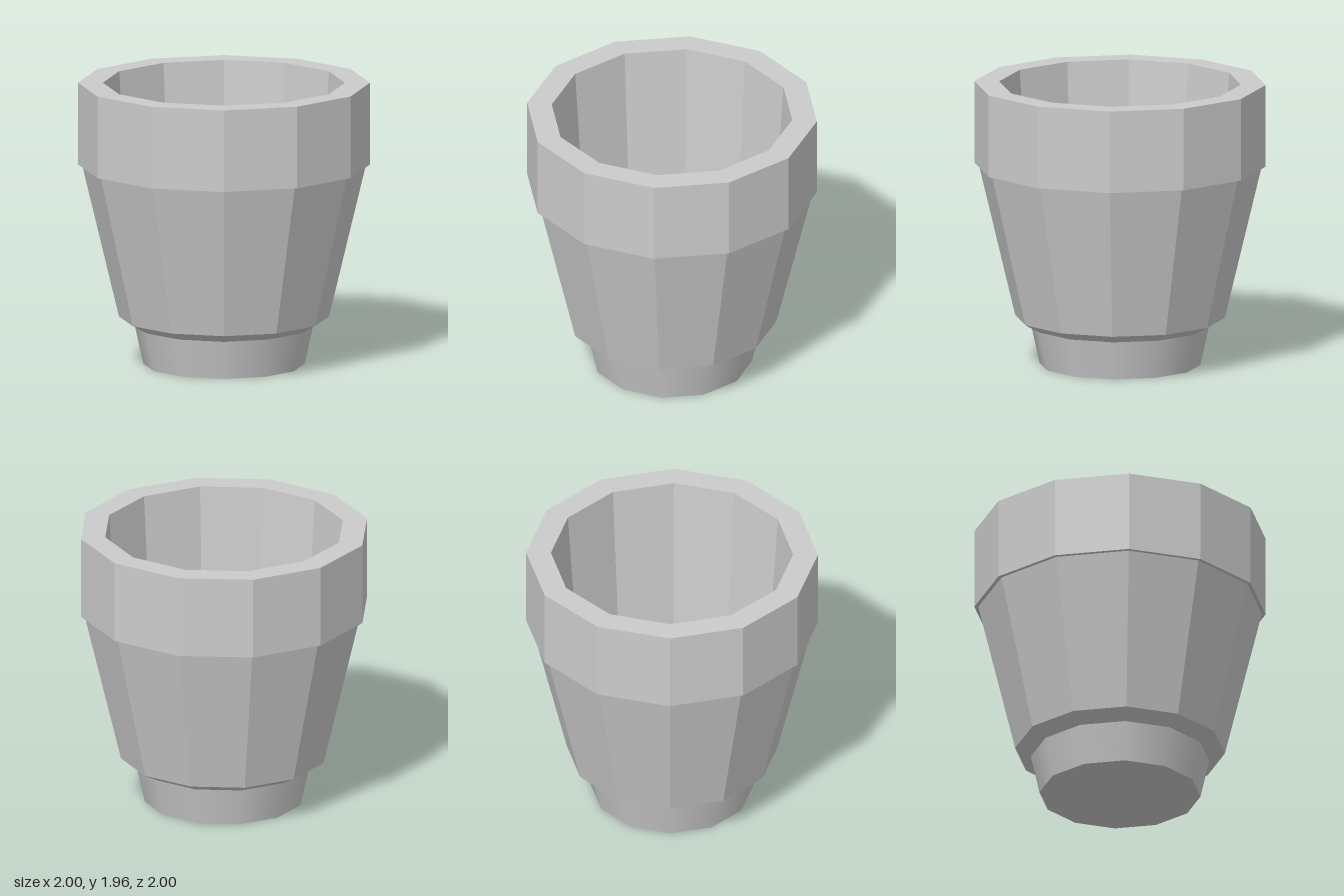
import * as THREE from 'three';

const SIDES = 12;

export function createModel() {
  const group = new THREE.Group();
  const faceted = new THREE.MeshStandardMaterial({ color: 0xcccccc, flatShading: true, side: THREE.DoubleSide });
  const smooth = new THREE.MeshStandardMaterial({ color: 0xcccccc, side: THREE.DoubleSide });

  // Revolves a [radius, height] profile into a twelve-sided ring
  function ring(name, profile, material) {
    const points = profile.map(([r, y]) => new THREE.Vector2(r, y));
    const mesh = new THREE.Mesh(new THREE.LatheGeometry(points, SIDES), material);
    mesh.name = name;
    group.add(mesh);
  }

  // Flat floor and softly shaded foot
  ring('floor', [[0, 0], [0.553, 0]], faceted);
  ring('foot', [[0.553, 0], [0.612, 0.27]], smooth);

  // Sloped ledge above the foot
  ring('ledge', [[0.612, 0.27], [0.72, 0.33]], faceted);

  // Tapered outer wall, overhanging rim band and inner wall
  ring('outerWall', [[0.72, 0.33], [0.973, 1.39]], faceted);
  ring('rim', [[0.973, 1.39], [1, 1.39], [1, 1.96], [0.83, 1.96]], faceted);
  ring('innerWall', [[0.83, 1.96], [0.72, 0.33]], faceted);

  return group;
}
